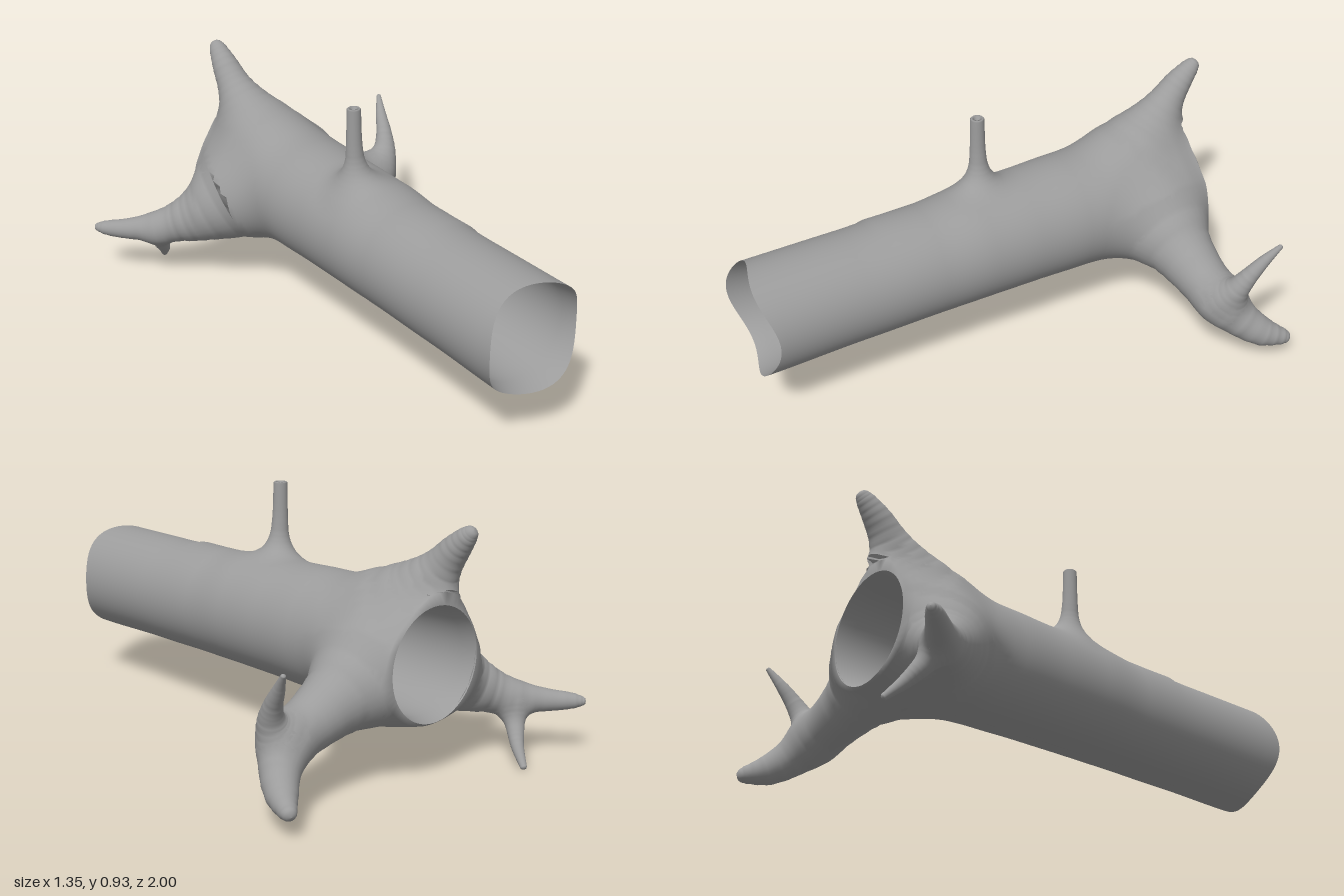
import * as THREE from 'three';

const CX = -0.058, BACK = -0.82, SIDES = 64;
const material = new THREE.MeshStandardMaterial({ color: 0x9c9c9c, side: THREE.DoubleSide });

// Log outline: z, radius, centre height
const BARK = [
  [BACK, 0.215, 0.425], [-0.72, 0.224, 0.425], [-0.6, 0.228, 0.428], [-0.45, 0.23, 0.437],
  [-0.3, 0.225, 0.437], [-0.1, 0.22, 0.435], [0.1, 0.217, 0.432], [0.3, 0.209, 0.422],
  [0.6, 0.206, 0.414], [1, 0.209, 0.408],
];

// Limbs: stations [x, y, z, radius]; blend is the width of the fillet at the root
const LIMBS = [
  { name: 'topRoot', blend: 0.15, stations: [
    [-0.09, 0.59, -0.62, 0.13], [-0.1, 0.67, -0.7, 0.096], [-0.11, 0.75, -0.78, 0.068],
    [-0.115, 0.82, -0.84, 0.052], [-0.115, 0.87, -0.888, 0.036], [-0.115, 0.893, -0.912, 0.022]] },
  { name: 'leftRoot', blend: 0.13, stations: [
    [0.11, 0.38, -0.64, 0.17], [0.24, 0.325, -0.65, 0.125], [0.37, 0.275, -0.66, 0.099],
    [0.48, 0.23, -0.675, 0.086], [0.56, 0.17, -0.725, 0.07], [0.61, 0.12, -0.79, 0.055],
    [0.642, 0.098, -0.85, 0.035], [0.652, 0.088, -0.878, 0.022]] },
  { name: 'rightRoot', blend: 0.13, stations: [
    [-0.23, 0.355, -0.63, 0.16], [-0.31, 0.3, -0.68, 0.123], [-0.4, 0.25, -0.75, 0.085],
    [-0.48, 0.222, -0.815, 0.06], [-0.57, 0.207, -0.89, 0.042], [-0.635, 0.205, -0.952, 0.03],
    [-0.664, 0.205, -0.985, 0.015]] },
  { name: 'leftShoot', blend: 0.08, stations: [
    [0.5, 0.25, -0.67, 0.07], [0.555, 0.315, -0.678, 0.05], [0.583, 0.39, -0.715, 0.034],
    [0.603, 0.46, -0.765, 0.022], [0.627, 0.525, -0.815, 0.009]] },
  { name: 'rightShoot', blend: 0.06, stations: [
    [-0.475, 0.2, -0.81, 0.045], [-0.445, 0.13, -0.855, 0.034], [-0.41, 0.07, -0.9, 0.023],
    [-0.382, 0.013, -0.955, 0.012]] },
  { name: 'topTwig', blend: 0.11, broken: true, stations: [
    [-0.105, 0.6, 0.04, 0.045], [-0.108, 0.7, 0.04, 0.037], [-0.112, 0.8, 0.04, 0.029],
    [-0.113, 0.925, 0.04, 0.026]] },
];

// Smooth paths and radii, sampled once for each limb
for (const l of LIMBS) {
  l.path = new THREE.CatmullRomCurve3(l.stations.map(s => new THREE.Vector3(s[0], s[1], s[2])));
  l.radii = new THREE.CatmullRomCurve3(l.stations.map((s, i) => new THREE.Vector3(s[3], i, 0)));
  l.points = l.path.getPoints(14);
  l.sizes = l.radii.getPoints(14).map(v => v.x);
}

// Radius and centre height of the log at z
function barkAt(z) {
  let i = 1;
  while (i < BARK.length - 1 && z > BARK[i][0]) i++;
  const [z0, r0, y0] = BARK[i - 1], [z1, r1, y1] = BARK[i];
  const t = THREE.MathUtils.smoothstep(z, z0, z1);
  return [r0 + (r1 - r0) * t, y0 + (y1 - y0) * t];
}

// Signed distance to one limb
const ab = new THREE.Vector3(), ap = new THREE.Vector3();
function limbDistance(l, p) {
  let best = Infinity;
  for (let i = 0; i < l.points.length - 1; i++) {
    ab.subVectors(l.points[i + 1], l.points[i]);
    ap.subVectors(p, l.points[i]);
    const t = THREE.MathUtils.clamp(ap.dot(ab) / ab.lengthSq(), 0, 1);
    best = Math.min(best, ap.addScaledVector(ab, -t).length()
      - THREE.MathUtils.lerp(l.sizes[i], l.sizes[i + 1], t));
  }
  return best;
}

// Signed distance to log and limbs, joined with soft fillets
function field(p) {
  const [r, cy] = barkAt(p.z);
  let d = Math.max(Math.hypot(p.x - CX, p.y - cy) - r, BACK - p.z);
  for (const l of LIMBS) {
    const e = limbDistance(l, p), h = Math.max(l.blend - Math.abs(d - e), 0) / l.blend;
    d = Math.min(d, e) - h * h * l.blend / 4;
  }
  return d;
}

function gradient(p) {
  const g = new THREE.Vector3(), q = p.clone(), e = 0.002;
  for (const axis of ['x', 'y', 'z']) {
    q[axis] = p[axis] + e;
    g[axis] = field(q);
    q[axis] = p[axis] - e;
    g[axis] -= field(q);
    q[axis] = p[axis];
  }
  return g.normalize();
}

// Keep the skin out of the hollow and its rear opening
function clearHollow(p) {
  const dx = p.x - CX, dy = p.y - 0.424, d = Math.hypot(dx, dy);
  if (d < 0.26 && p.z < BACK + 0.005) p.z = BACK + 0.005;
  if (d < 0.206 && p.z < 0.5) {
    p.x = CX + dx / d * 0.206;
    p.y = 0.424 + dy / d * 0.206;
  }
}

// Skin closed rings; rings accepted by isBlended are drawn onto the soft surface
function loft(name, rings, isBlended) {
  const n = rings[0].length, index = [], normals = new Map();
  rings.forEach((ring, i) => ring.forEach((p, j) => {
    if (isBlended(i)) {
      const reachable = Math.abs(field(p)) < 0.075;
      for (let k = 0; reachable && k < 6; k++) p.addScaledVector(gradient(p), -field(p));
      if (reachable) normals.set(i * n + j, gradient(p));
      clearHollow(p);
    }
    if (i === rings.length - 1) return;
    const a = i * n + j, b = i * n + (j + 1) % n;
    index.push(a, b, a + n, b, b + n, a + n);
  }));
  const geometry = new THREE.BufferGeometry().setFromPoints(rings.flat());
  geometry.setIndex(index);
  geometry.computeVertexNormals();
  normals.forEach((v, i) => geometry.attributes.normal.setXYZ(i, v.x, v.y, v.z));
  const mesh = new THREE.Mesh(geometry, material);
  mesh.name = name;
  return mesh;
}

// Tapering limb with a rounded tip, or a dented one where it is broken off
function limb(l, steps = 40, sides = 28) {
  const normal = new THREE.Vector3(0.31, 0.2, 0.93), rings = [];
  const addRing = (c, t, r) => {
    normal.addScaledVector(t, -normal.dot(t)).normalize();
    const side = new THREE.Vector3().crossVectors(t, normal);
    rings.push(Array.from({ length: sides }, (_, j) => {
      const a = j / sides * Math.PI * 2;
      return c.clone().addScaledVector(normal, r * Math.cos(a)).addScaledVector(side, r * Math.sin(a));
    }));
  };
  for (let i = 0; i <= steps; i++) {
    const u = i / steps;
    addRing(l.path.getPoint(u), l.path.getTangent(u), l.radii.getPoint(u).x);
  }
  const end = l.path.getPoint(1), t = l.path.getTangent(1), r = l.stations.at(-1)[3];
  const tip = l.broken ? [[0.15, 0.85], [0.1, 0.5], [-0.9, 0.4], [-0.9, 0]] : [[0.4, 0.7], [0.55, 0]];
  for (const [along, size] of tip) addRing(end.clone().addScaledVector(t, r * along), t, r * size);
  return loft(l.name, rings, i => i <= steps);
}

// Ring of the log, wavy at the front lip
function logRing(z, r, cy) {
  return Array.from({ length: SIDES }, (_, j) => {
    const a = j / SIDES * Math.PI * 2;
    const lip = z > 0.999 ? 0.022 * (1 + Math.cos(3 * a)) : 0;
    return new THREE.Vector3(CX + r * Math.cos(a), cy + r * Math.sin(a), z - lip);
  });
}

export function createModel() {
  const group = new THREE.Group();
  group.name = 'hollowLog';

  // Outer bark, from the rear rim to the front lip
  const bark = [logRing(BACK, 0.207, 0.424)];
  for (let z = BACK + 0.01; z < 0.94; z += 0.03) bark.push(logRing(z, ...barkAt(z)));
  bark.push(logRing(1, ...barkAt(1)));
  group.add(loft('bark', bark, i => i > 0 && i < bark.length - 1));

  // Hollow inside, front to back
  group.add(loft('hollow', [
    [1, 0.209, 0.408], [0.9, 0.195, 0.412], [0.5, 0.19, 0.418], [0, 0.19, 0.422],
    [-0.6, 0.19, 0.423], [-0.76, 0.195, 0.424], [BACK, 0.207, 0.424],
  ].map(s => logRing(...s)), () => false));

  // Roots, side shoots and the broken twig
  for (const l of LIMBS) group.add(limb(l));
  return group;
}
